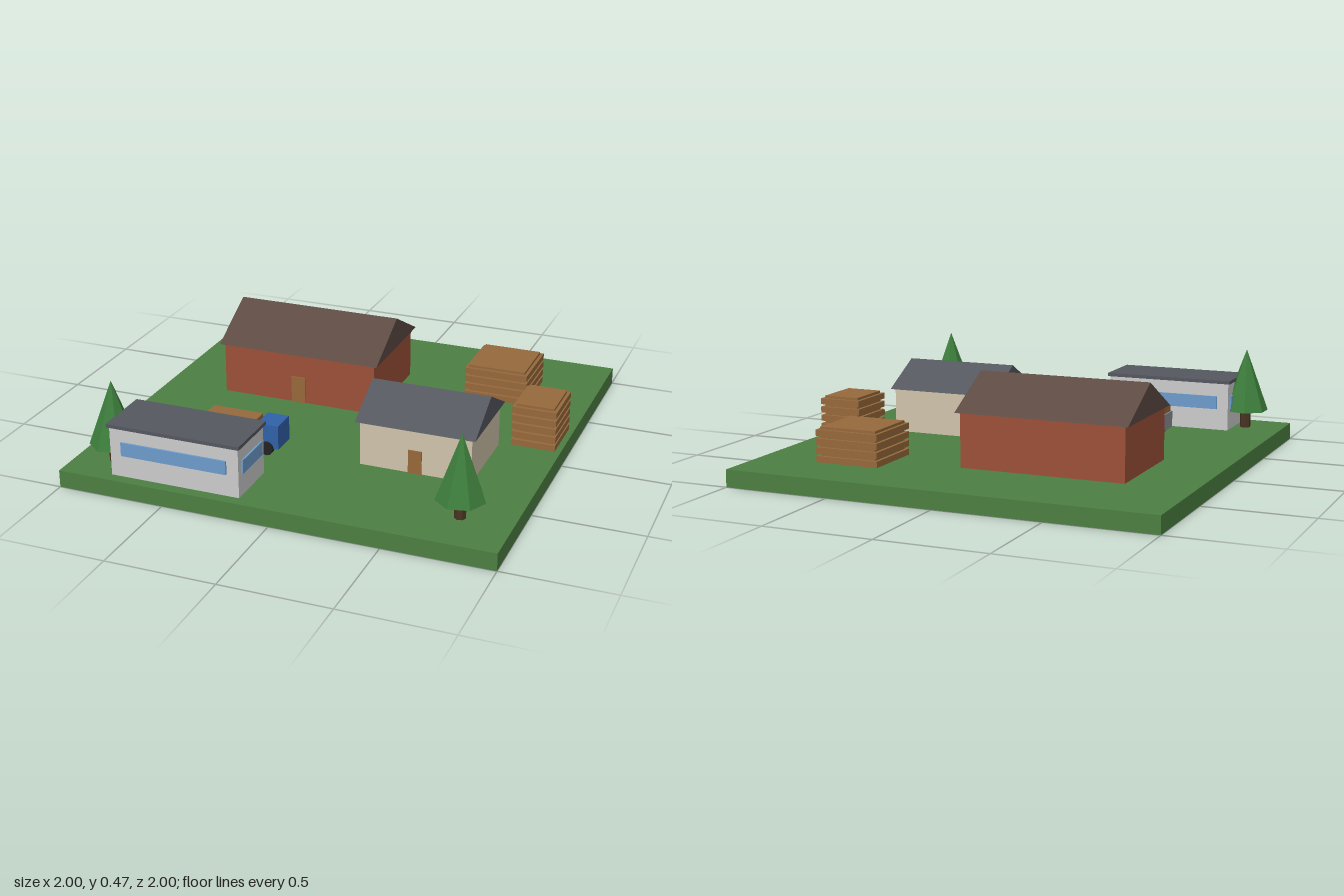
import * as THREE from 'three';

const GROUND = 0.08;
const mats = {};
const mat = (color) => (mats[color] ??= new THREE.MeshStandardMaterial({ color, flatShading: true }));

const COLORS = {
  grass: 0x4c7f42, brick: 0x9c5038, brownRoof: 0x5c4a43, cream: 0xcfc3ab, greyRoof: 0x55575f,
  white: 0xd0d0cc, glass: 0x6c9bca, wood: 0x96693c, cab: 0x2f62a8, steel: 0x8a8d92,
  rubber: 0x222222, leaf: 0x3d7d3c, trunk: 0x4a3322,
};

function add(parent, name, geometry, color) {
  const mesh = new THREE.Mesh(geometry, mat(color));
  mesh.name = name;
  parent.add(mesh);
  return mesh;
}

// Box given by its limits on each axis
function block(parent, name, [x0, x1], [y0, y1], [z0, z1], color) {
  const mesh = add(parent, name, new THREE.BoxGeometry(x1 - x0, y1 - y0, z1 - z0), color);
  mesh.position.set((x0 + x1) / 2, (y0 + y1) / 2, (z0 + z1) / 2);
  return mesh;
}

function group(parent, name, x = 0, z = 0) {
  const g = new THREE.Group();
  g.name = name;
  g.position.set(x, 0, z);
  parent.add(g);
  return g;
}

// Building with a solid gable roof, ridge along x, door on the front
function gabledBuilding(parent, name, o) {
  const g = group(parent, name, o.x, o.z);
  const [w, d] = o.walls, [rw, rd] = o.roof;
  block(g, 'walls', [-w / 2, w / 2], [GROUND, o.eave], [-d / 2, d / 2], o.wallColor);
  const gable = new THREE.Shape([
    new THREE.Vector2(-rd / 2, 0), new THREE.Vector2(rd / 2, 0), new THREE.Vector2(0, o.ridge - o.eave),
  ]);
  const geometry = new THREE.ExtrudeGeometry(gable, { depth: rw, bevelEnabled: false });
  geometry.translate(0, 0, -rw / 2).rotateY(Math.PI / 2);
  add(g, 'roof', geometry, o.roofColor).position.y = o.eave;
  const { x, width, height } = o.door;
  block(g, 'door', [x - width / 2, x + width / 2], [GROUND, GROUND + height],
    [d / 2 - 0.01, d / 2 + 0.006], COLORS.wood);
}

// Flat-roofed office with a window strip on every side
function office(parent) {
  const g = group(parent, 'office', -0.46, 0.82);
  const w = 0.305, d = 0.128;
  block(g, 'walls', [-w, w], [GROUND, 0.31], [-d, d], COLORS.white);
  block(g, 'flatRoof', [-0.315, 0.315], [0.31, 0.326], [-0.14, 0.14], COLORS.greyRoof);
  for (const s of [-1, 1]) {
    const front = block(g, 'longWindow', [-0.25, 0.25], [0.183, 0.246], [-0.006, 0.006], COLORS.glass);
    front.position.z = s * (d + 0.003);
    const side = block(g, 'sideWindow', [-0.006, 0.006], [0.183, 0.246], [-0.1, 0.1], COLORS.glass);
    side.position.x = s * (w + 0.003);
  }
}

// Stacked boards with a thin recessed spacer above each one
function lumberStack(parent, x, z, w, d, layers) {
  const g = group(parent, 'lumberStack', x, z);
  const inset = 0.015, pitch = 0.04, board = 0.028;
  for (let i = 0; i < layers; i++) {
    const y = GROUND + i * pitch;
    block(g, 'board', [-w / 2, w / 2], [y, y + board], [-d / 2, d / 2], COLORS.wood);
    block(g, 'spacer', [-w / 2 + inset, w / 2 - inset], [y + board, y + pitch],
      [-d / 2 + inset, d / 2 - inset], COLORS.wood);
  }
}

function truck(parent) {
  const g = group(parent, 'truck', 0, 0.459);
  block(g, 'cab', [-0.265, -0.162], [0.112, 0.225], [-0.062, 0.062], COLORS.cab);
  block(g, 'bed', [-0.537, -0.28], [0.112, 0.19], [-0.067, 0.067], COLORS.steel);
  block(g, 'load', [-0.53, -0.287], [0.19, 0.22], [-0.056, 0.056], COLORS.wood);
  for (const x of [-0.483, -0.36, -0.217]) {
    for (const s of [-1, 1]) {
      const geometry = new THREE.CylinderGeometry(0.032, 0.032, 0.022, 12).rotateX(Math.PI / 2);
      add(g, 'wheel', geometry, COLORS.rubber).position.set(x, GROUND + 0.032, s * 0.062);
    }
  }
}

// Seven-sided conifer
function tree(parent, x, z) {
  const g = group(parent, 'tree', x, z);
  g.rotation.y = Math.PI / 2;
  add(g, 'trunk', new THREE.CylinderGeometry(0.026, 0.026, 0.09, 7), COLORS.trunk).position.y = GROUND + 0.045;
  add(g, 'foliage', new THREE.ConeGeometry(0.11, 0.3, 7), COLORS.leaf).position.y = 0.316;
}

export function createModel() {
  const model = new THREE.Group();
  model.name = 'lumberYard';
  block(model, 'ground', [-1, 1], [0, GROUND], [-1, 1], COLORS.grass);

  gabledBuilding(model, 'barn', {
    x: -0.308, z: -0.307, walls: [0.766, 0.51], roof: [0.803, 0.55], eave: 0.327, ridge: 0.473,
    wallColor: COLORS.brick, roofColor: COLORS.brownRoof, door: { x: 0, width: 0.07, height: 0.13 },
  });
  gabledBuilding(model, 'house', {
    x: 0.46, z: 0.253, walls: [0.514, 0.41], roof: [0.55, 0.447], eave: 0.288, ridge: 0.407,
    wallColor: COLORS.cream, roofColor: COLORS.greyRoof, door: { x: 0, width: 0.062, height: 0.11 },
  });
  office(model);
  truck(model);

  lumberStack(model, 0.56, -0.563, 0.306, 0.306, 4);
  lumberStack(model, 0.87, -0.101, 0.205, 0.255, 5);

  tree(model, -0.818, 0.82);
  tree(model, 0.768, 0.768);
  return model;
}
